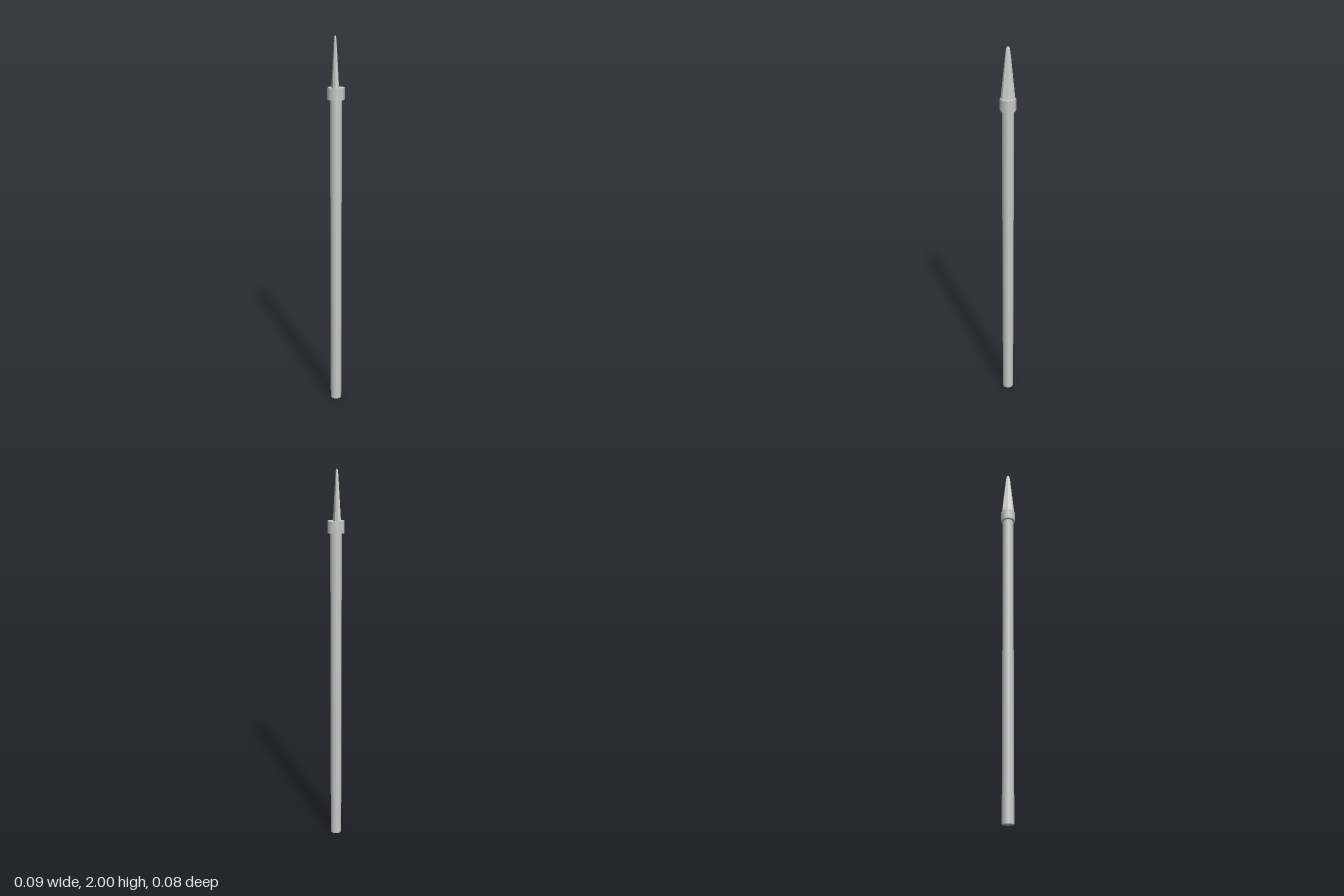
import * as THREE from 'three';

const material = () => new THREE.MeshStandardMaterial({ color: 0xcccccc });

function add(group, name, geometry, mat = material()) {
  const mesh = new THREE.Mesh(geometry, mat);
  mesh.name = name;
  group.add(mesh);
  return mesh;
}

// Faceted blade: one eight-sided outline, shrunk at each level, closed at both ends
function bladeGeometry() {
  const outline = [[-0.02, 0], [-0.015, 0.027], [-0.002, 0.037], [0.015, 0.029],
    [0.02, 0], [0.015, -0.028], [0.002, -0.037], [-0.015, -0.034]];
  const levels = [[1.735, 1, 1], [1.97, 0.36, 0.34], [1.99, 0.27, 0.25], [2.0, 0.12, 0.14]]; // y, x scale, z scale
  const n = outline.length;
  const positions = [];
  const index = [];
  for (const [y, sx, sz] of levels) {
    for (const [x, z] of outline) positions.push(-0.004 + x * sx, y, z * sz);
  }
  for (let l = 0; l < levels.length - 1; l++) {
    for (let i = 0; i < n; i++) {
      const a = l * n + i, b = l * n + (i + 1) % n;
      index.push(a, b, b + n, a, b + n, a + n);
    }
  }
  const top = (levels.length - 1) * n;
  for (let i = 1; i < n - 1; i++) {
    index.push(0, i + 1, i);
    index.push(top, top + i, top + i + 1);
  }
  const geometry = new THREE.BufferGeometry();
  geometry.setAttribute('position', new THREE.Float32BufferAttribute(positions, 3));
  geometry.setIndex(index);
  geometry.computeVertexNormals();
  return geometry;
}

export function createModel() {
  const group = new THREE.Group();
  group.name = 'spear';

  // Long octagonal shaft with smooth sides
  add(group, 'shaft', new THREE.CylinderGeometry(0.03, 0.03, 1.72, 8).translate(0, 0.86, 0));

  // Collar, slightly wider across x than z
  const collar = add(group, 'collar', new THREE.CylinderGeometry(0.044, 0.044, 0.06, 8));
  collar.position.y = 1.72;
  collar.scale.z = 0.92;

  // Slim blade
  const bladeMaterial = material();
  bladeMaterial.flatShading = true;
  add(group, 'blade', bladeGeometry(), bladeMaterial);

  return group;
}
